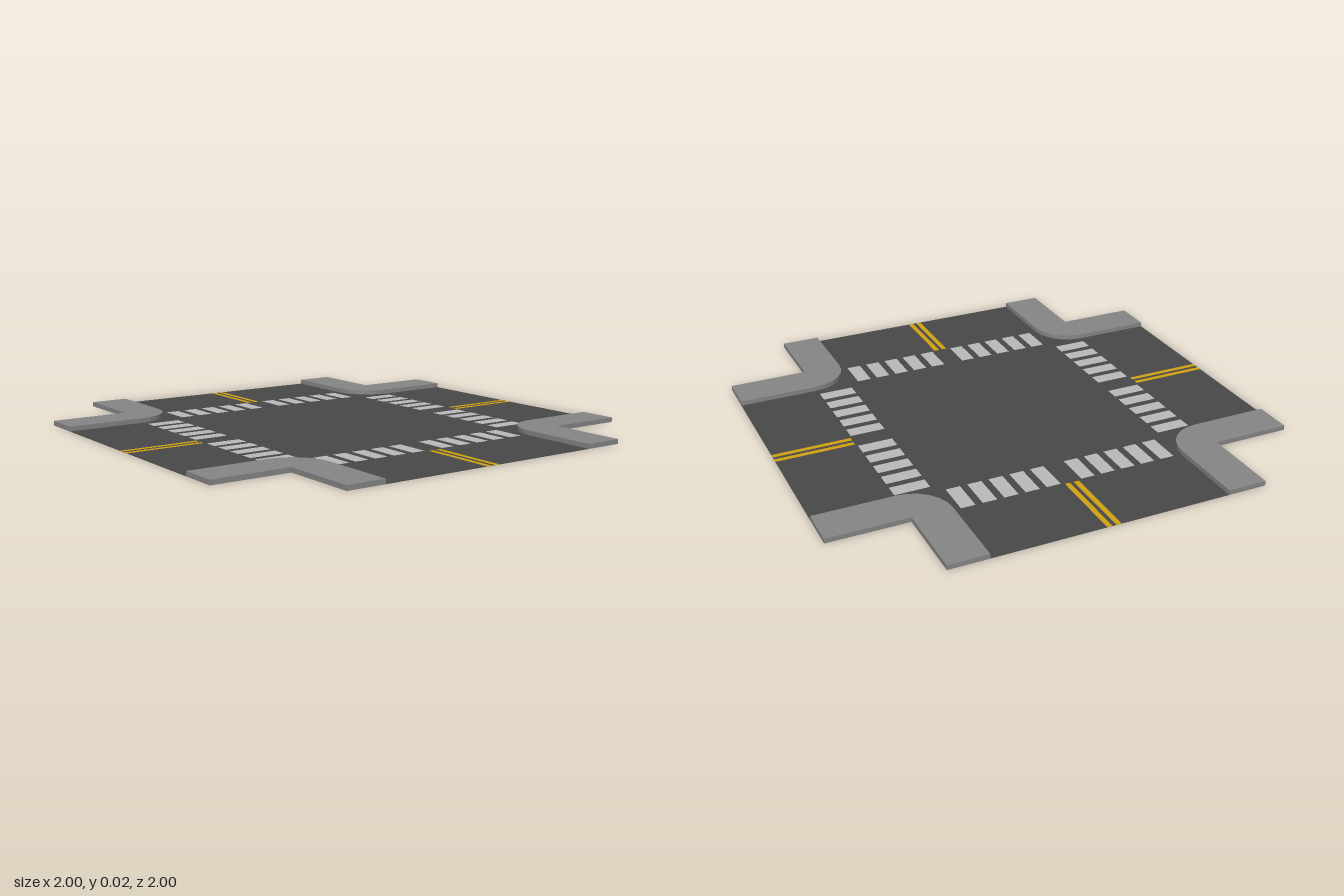
import * as THREE from 'three';
import { mergeGeometries, toCreasedNormals } from 'three/addons/utils/BufferGeometryUtils.js';

const ROAD = 0.5, EDGE = 0.665, KERB = 0.02, R = EDGE - ROAD;

const paint = (color) => new THREE.MeshStandardMaterial({ color, side: THREE.DoubleSide });

function mesh(name, geometry, material) {
  const m = new THREE.Mesh(geometry, material);
  m.name = name;
  return m;
}

// Shapes are drawn on a plan, then laid flat
const flat = (shapes, y = 0) => new THREE.ShapeGeometry(shapes).rotateX(-Math.PI / 2).translate(0, y, 0);

// Rectangle on the plan; turned swaps its axes
function rect(cx, cy, w, h, turned) {
  if (turned) [cx, cy, w, h] = [cy, cx, h, w];
  const pts = [[-1, -1], [1, -1], [1, 1], [-1, 1]];
  return new THREE.Shape(pts.map(([a, b]) => new THREE.Vector2(cx + a * w / 2, cy + b * h / 2)));
}

// Kerb line of one corner, with a rounded turn
function kerbLine() {
  const pts = [new THREE.Vector2(1, ROAD)];
  const steps = 6;
  for (let i = 0; i <= steps; i++) {
    const a = Math.PI * (1.5 - 0.5 * i / steps);
    pts.push(new THREE.Vector2(EDGE + R * Math.cos(a), EDGE + R * Math.sin(a)));
  }
  pts.push(new THREE.Vector2(ROAD, 1));
  return pts;
}

// Five stripes on each side of the centre line, at both ends of one axis
function crosswalks(turned) {
  const shapes = [];
  for (const end of [-1, 1])
    for (const side of [-1, 1])
      for (let i = 0; i < 5; i++)
        shapes.push(rect(side * (0.075 + i * 0.09), end * 0.584, 0.06, 0.148, turned));
  return shapes;
}

// Double centre lines on all four arms
function centreLines() {
  const shapes = [];
  for (const turned of [false, true])
    for (const end of [-1, 1])
      for (const side of [-1, 1])
        shapes.push(rect(side * 0.019, end * 0.832, 0.022, 0.334, turned));
  return shapes;
}

// Raised pavement slab: top surface and upright sides, open underneath
function pavementGeometry(kerb) {
  const outline = [...kerb, new THREE.Vector2(EDGE, 1), new THREE.Vector2(EDGE, EDGE), new THREE.Vector2(1, EDGE)];
  const top = flat(new THREE.Shape(outline), KERB).toNonIndexed();
  top.deleteAttribute('uv');
  const pos = [];
  outline.forEach((p, i) => {
    const q = outline[(i + 1) % outline.length];
    const a = [p.x, 0, -p.y], b = [q.x, 0, -q.y], c = [q.x, KERB, -q.y], d = [p.x, KERB, -p.y];
    pos.push(...a, ...c, ...b, ...a, ...d, ...c);
  });
  const sides = new THREE.BufferGeometry();
  sides.setAttribute('position', new THREE.Float32BufferAttribute(pos, 3));
  sides.computeVertexNormals();
  return mergeGeometries([top, toCreasedNormals(sides, 0.6)]);
}

export function createModel() {
  const model = new THREE.Group();
  model.name = 'crossroads';
  const asphalt = paint(0x484848), concrete = paint(0x868686);
  const white = paint(0xbababa), yellow = paint(0xd2a20f);

  // Road surface, with openings filled by the inlaid markings
  const kerb = kerbLine();
  const outline = [];
  for (let k = 0; k < 4; k++)
    outline.push(...kerb.map((p) => p.clone().rotateAround(new THREE.Vector2(), k * Math.PI / 2)));
  const road = new THREE.Shape(outline);
  const sideStripes = crosswalks(true), lines = centreLines();
  for (const s of [...sideStripes, ...lines]) road.holes.push(new THREE.Path(s.getPoints()));
  model.add(mesh('road', flat(road), asphalt));

  // Markings
  model.add(mesh('sideCrosswalks', flat(sideStripes), white));
  model.add(mesh('frontAndBackCrosswalks', flat(crosswalks(false), 0.001), white));
  model.add(mesh('centreLines', flat(lines), yellow));

  // Corner pavements
  const slab = pavementGeometry(kerb);
  ['backLeft', 'backRight', 'frontRight', 'frontLeft'].forEach((corner, k) => {
    const pavement = mesh(corner + 'Pavement', slab, concrete);
    pavement.rotation.y = k * Math.PI / 2;
    model.add(pavement);
  });
  return model;
}
